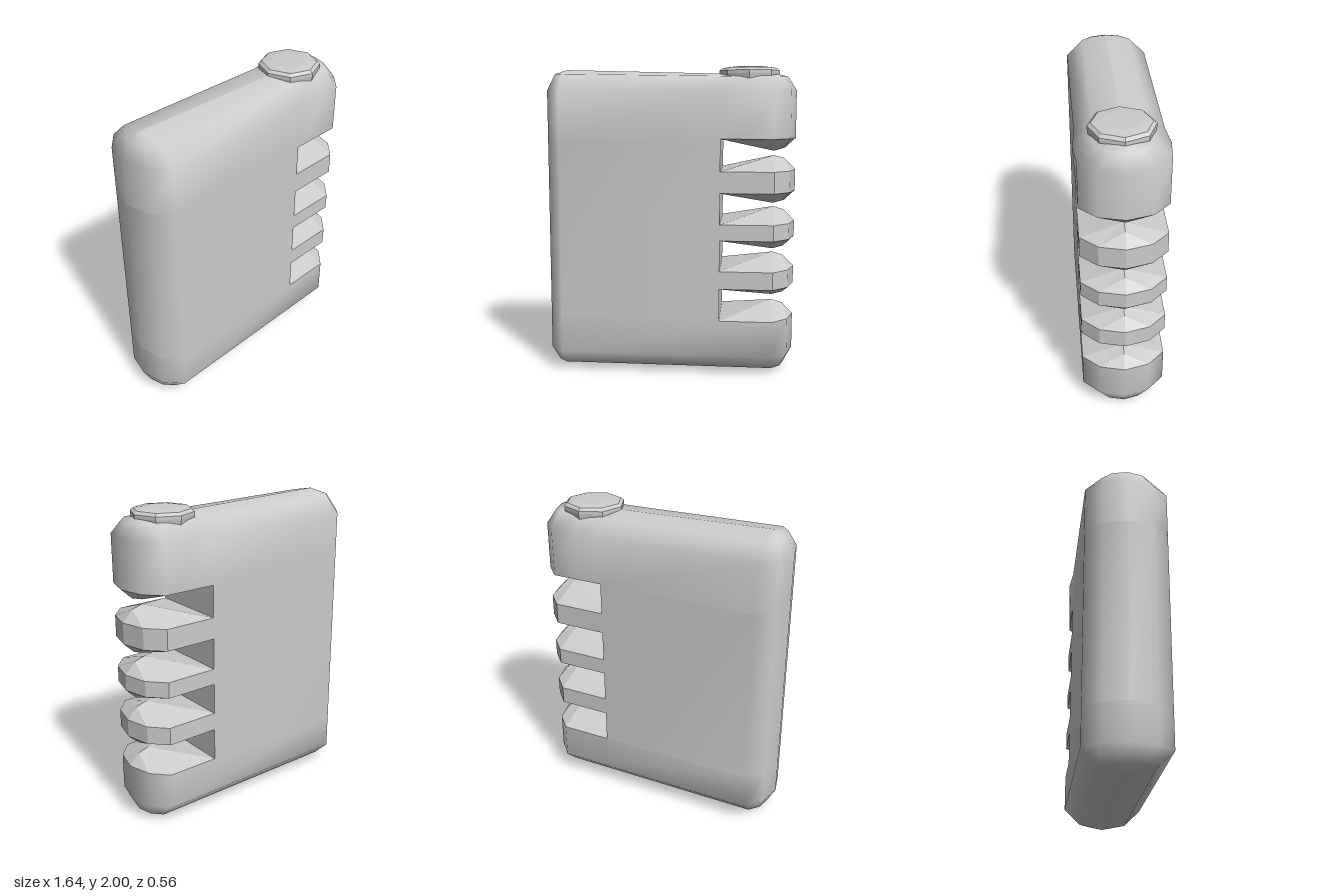
import * as THREE from 'three';

const material = new THREE.MeshStandardMaterial({ color: 0xcccccc });
const flat = new THREE.MeshStandardMaterial({ color: 0xcccccc, flatShading: true });

const HALF = 0.262;   // half thickness
const SLOT = 0.34;    // depth line of the slots
const RIGHT = 0.68, LEFT = -0.69; // where the rounded ends begin

// Plan points [x, z] of the rounded ends, counter-clockwise seen from above
const rightEnd = [[0, 1], [0.1, 0.6], [0.14, 0], [0.1, -0.6], [0, -1]];
const endPoints = (k, side) => rightEnd.map(([x, z]) =>
  [side > 0 ? RIGHT + x * k : LEFT - x * 0.95 * k, z * HALF * k * side]);

// Skin between stacked rings of [x, y, z] points
function loft(rings, closed) {
  const n = rings[0].length, index = [];
  for (let r = 0; r < rings.length - 1; r++) {
    for (let i = 0; i < (closed ? n : n - 1); i++) {
      const a = r * n + i, b = r * n + (i + 1) % n;
      index.push(a, b, b + n, a, b + n, a + n);
    }
  }
  const g = new THREE.BufferGeometry();
  g.setAttribute('position', new THREE.Float32BufferAttribute(rings.flat(2), 3));
  g.setIndex(index);
  g.computeVertexNormals();
  return g;
}

// Full ring; k shrinks the section toward its centre line, bulge widens it near the button
function ring(k, height, bulge) {
  const mid = bulge === undefined ? [] : [[0.35, HALF * k], [0.52, (HALF + bulge) * k]];
  const back = mid.map(([x, z]) => [x, -z]).reverse();
  return [...mid, ...endPoints(k, 1), ...back, ...endPoints(k, -1)]
    .map(([x, z]) => [x, height(x), z]);
}

const fingerOutline = [[SLOT, HALF], ...endPoints(1, 1), [SLOT, -HALF]];

// Faceted hump that closes a block at a slot: up (peak > base) or down
function hump(base, peak) {
  const up = peak > base;
  const [A, B, C, D, C2, B2, A2] = fingerOutline.map(([x, z]) => [x, base, z]);
  const P = [RIGHT, peak, 0];
  const Q = [0.75, peak + (up ? -0.02 : 0.02), 0];
  const faces = [[A, B, P], [B, C, P], [C, Q, P], [C, D, Q],
    [D, C2, Q], [Q, C2, P], [C2, B2, P], [B2, A2, P], [A2, A, P]];
  const points = faces.flatMap(([a, b, c]) => (up ? [a, b, c] : [a, c, b])).flat();
  const g = new THREE.BufferGeometry();
  g.setAttribute('position', new THREE.Float32BufferAttribute(points, 3));
  g.computeVertexNormals();
  return g;
}

export function createModel() {
  const model = new THREE.Group();
  const add = (name, geometry, mat = material, parent = model) => {
    const mesh = new THREE.Mesh(geometry, mat);
    mesh.name = name;
    parent.add(mesh);
    return mesh;
  };

  const lowY = 0.375, highY = 1.545;

  // Rounded base block
  const baseLevels = [[0, 0.005], [0.6, 0.037], [1, 0.14], [1, lowY]];
  add('baseBlock', loft(baseLevels.map(([k, y]) => ring(k, () => y)), true));
  add('baseBlockHump', hump(lowY, 0.465), flat);

  // Rounded top block: ridge slopes down to the right, bulging under the button
  const slope = x => 0.027 * THREE.MathUtils.clamp((0.35 - x) / 1.04, 0, 1);
  const topLevels = [[1, highY, 0, 0], [1, 1.85, 0.016, 0], [0.6, 1.937, 0.02, 0.6], [0, 1.957, 0, 1]];
  add('topBlock', loft(topLevels.map(([k, y, bulge, s]) =>
    ring(k, x => y + s * slope(x), bulge)), true));
  add('topBlockHump', hump(highY, 1.46), flat);

  // Spine between the two blocks, with the inner wall of the slots
  const spineOutline = [[SLOT, -HALF], ...endPoints(1, -1), [SLOT, HALF]];
  add('spine', loft([lowY, highY].map(y => spineOutline.map(([x, z]) => [x, y, z])), false));
  const wall = add('slotWall', new THREE.PlaneGeometry(2 * HALF, highY - lowY));
  wall.rotation.y = Math.PI / 2;
  wall.position.set(SLOT, (lowY + highY) / 2, 0);

  // Fingers: [lower peak, band bottom, band top, upper peak]
  const fingers = [
    [0.5, 0.585, 0.7, 0.79],
    [0.812, 0.9, 1.003, 1.095],
    [1.117, 1.203, 1.34, 1.432],
  ];
  for (const [low, bottom, top, high] of fingers) {
    const finger = new THREE.Group();
    finger.name = 'finger';
    model.add(finger);
    const band = [bottom, top].map(y => fingerOutline.map(([x, z]) => [x, y, z]));
    add('fingerBand', loft(band, false), flat, finger);
    add('fingerUnderside', hump(bottom, low), flat, finger);
    add('fingerTop', hump(top, high), flat, finger);
  }

  // Eight-sided button
  const profile = [[0.185, 1.9], [0.195, 1.955], [0.195, 1.975], [0.175, 1.992], [0.115, 2], [0, 2]]
    .map(([r, y]) => new THREE.Vector2(r, y));
  const button = add('button', new THREE.LatheGeometry(profile, 8), flat);
  button.position.x = 0.515;

  return model;
}
